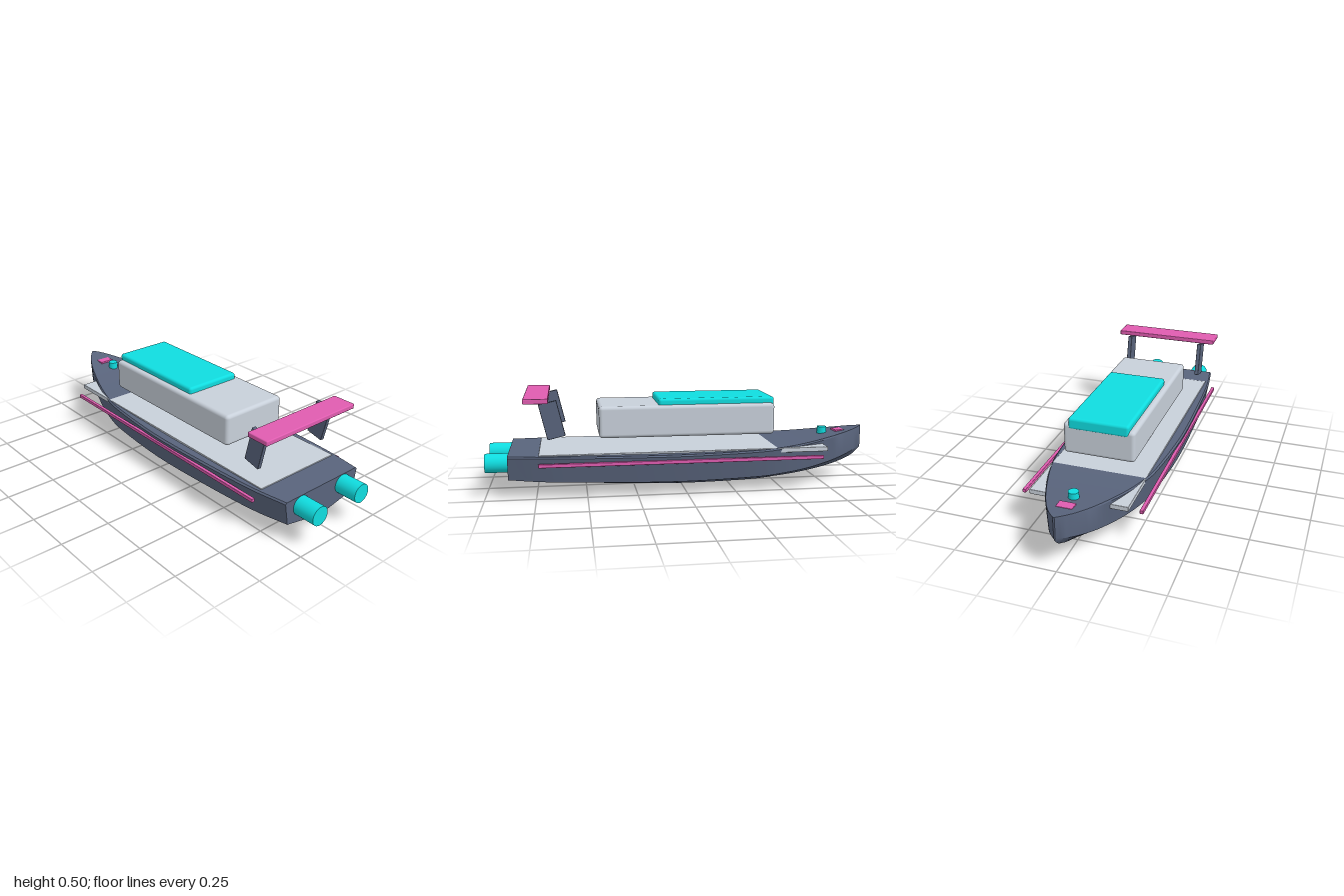
import * as THREE from 'three';
import { toCreasedNormals } from 'three/addons/utils/BufferGeometryUtils.js';
import { RoundedBoxGeometry } from 'three/addons/geometries/RoundedBoxGeometry.js';

const mat = (color) => new THREE.MeshStandardMaterial({ color });

// Hull stations from stern to bow: z, half width, sheer y, chine y, keel y
const STATIONS = [
  [0.885, 0.24, 0.217, 0.097, 0.06],
  [0.68, 0.268, 0.214, 0.085, 0.04],
  [0.35, 0.284, 0.211, 0.075, 0.017],
  [0, 0.289, 0.21, 0.07, 0.003],
  [-0.35, 0.265, 0.214, 0.074, 0.008],
  [-0.5, 0.238, 0.221, 0.082, 0.02],
  [-0.65, 0.19, 0.233, 0.095, 0.037],
  [-0.8, 0.13, 0.252, 0.12, 0.065],
  [-0.9, 0.08, 0.267, 0.145, 0.095],
  [-0.96, 0.04, 0.278, 0.163, 0.125],
  [-1, 0.004, 0.285, 0.18, 0.165],
];

// Hard-chined hull lofted through closed cross-sections
function hullGeometry() {
  const curve = (pick) => new THREE.CatmullRomCurve3(STATIONS.map(pick), false, 'catmullrom');
  const upper = curve((s) => new THREE.Vector3(s[0], s[1], s[2]));
  const lower = curve((s) => new THREE.Vector3(s[0], s[3], s[4]));
  const rows = 40, pos = [], idx = [];
  let n = 0;
  for (let i = 0; i <= rows; i++) {
    const { x: z, y: w, z: sheer } = upper.getPoint(i / rows);
    const { y: chine, z: keel } = lower.getPoint(i / rows);
    const half = [
      [w * 0.25, keel + (chine - keel) * 0.15],
      [w * 0.92, chine],
      [w, sheer - 0.008],
      [w * 0.97, sheer],
    ];
    const ring = [[0, keel], ...half, ...half.map(([x, y]) => [-x, y]).reverse()];
    n = ring.length;
    ring.forEach(([x, y]) => pos.push(x, y, z));
  }
  for (let i = 0; i < rows; i++) {
    for (let j = 0; j < n; j++) {
      const k = (j + 1) % n;
      const a = i * n + j, b = i * n + k, c = a + n, d = b + n;
      idx.push(a, c, b, b, c, d);
    }
  }
  // Transom and stem caps
  const e = rows * n;
  for (let j = 1; j < n - 1; j++) idx.push(0, j, j + 1, e, e + j + 1, e + j);
  const g = new THREE.BufferGeometry();
  g.setAttribute('position', new THREE.Float32BufferAttribute(pos, 3));
  g.setIndex(idx);
  return toCreasedNormals(g, 0.5);
}

export function createModel() {
  const boat = new THREE.Group();
  boat.name = 'boat';
  const navy = mat(0x59647c), grey = mat(0xc8d0da), pink = mat(0xe05cb0), cyan = mat(0x10dde0);

  const add = (name, geometry, material, x, y, z) => {
    const m = new THREE.Mesh(geometry, material);
    m.name = name;
    m.position.set(x, y, z);
    boat.add(m);
    return m;
  };
  const box = (w, h, d, r) => new RoundedBoxGeometry(w, h, d, 3, r);

  add('hull', hullGeometry(), navy, 0, 0, 0);
  add('deckPlate', box(0.48, 0.024, 1.47, 0.003), grey, 0, 0.207, 0);

  // Cabin and its roof panel
  add('cabin', box(0.36, 0.16, 0.9, 0.018), grey, 0, 0.362, -0.015);
  add('cabinRoof', box(0.305, 0.06, 0.6, 0.014), cyan, 0, 0.443, -0.168);

  // Stern wing
  add('wing', box(0.572, 0.025, 0.12, 0.005), pink, 0, 0.49, 0.74);

  // Paired parts
  for (const [side, s] of [['left', 1], ['right', -1]]) {
    const post = add(side + 'WingPost', box(0.022, 0.18, 0.09, 0.003), navy, s * 0.211, 0.388, 0.665);
    post.rotation.x = 0.23;
    add(side + 'SideRail', box(0.018, 0.018, 1.43, 0.003), pink, s * 0.288, 0.177, 0.02);
    const thruster = add(side + 'Thruster', new THREE.CylinderGeometry(0.048, 0.048, 0.16, 32), cyan, s * 0.14, 0.167, 0.92);
    thruster.rotation.x = Math.PI / 2;
  }

  // Bow fittings
  add('bowBollard', new THREE.CylinderGeometry(0.025, 0.025, 0.046, 24), cyan, 0, 0.26, -0.78);
  add('bowCleat', box(0.078, 0.016, 0.05, 0.003), pink, 0, 0.256, -0.87);
  boat.getObjectByName('bowCleat').position.y = 0.26;

  return boat;
}
